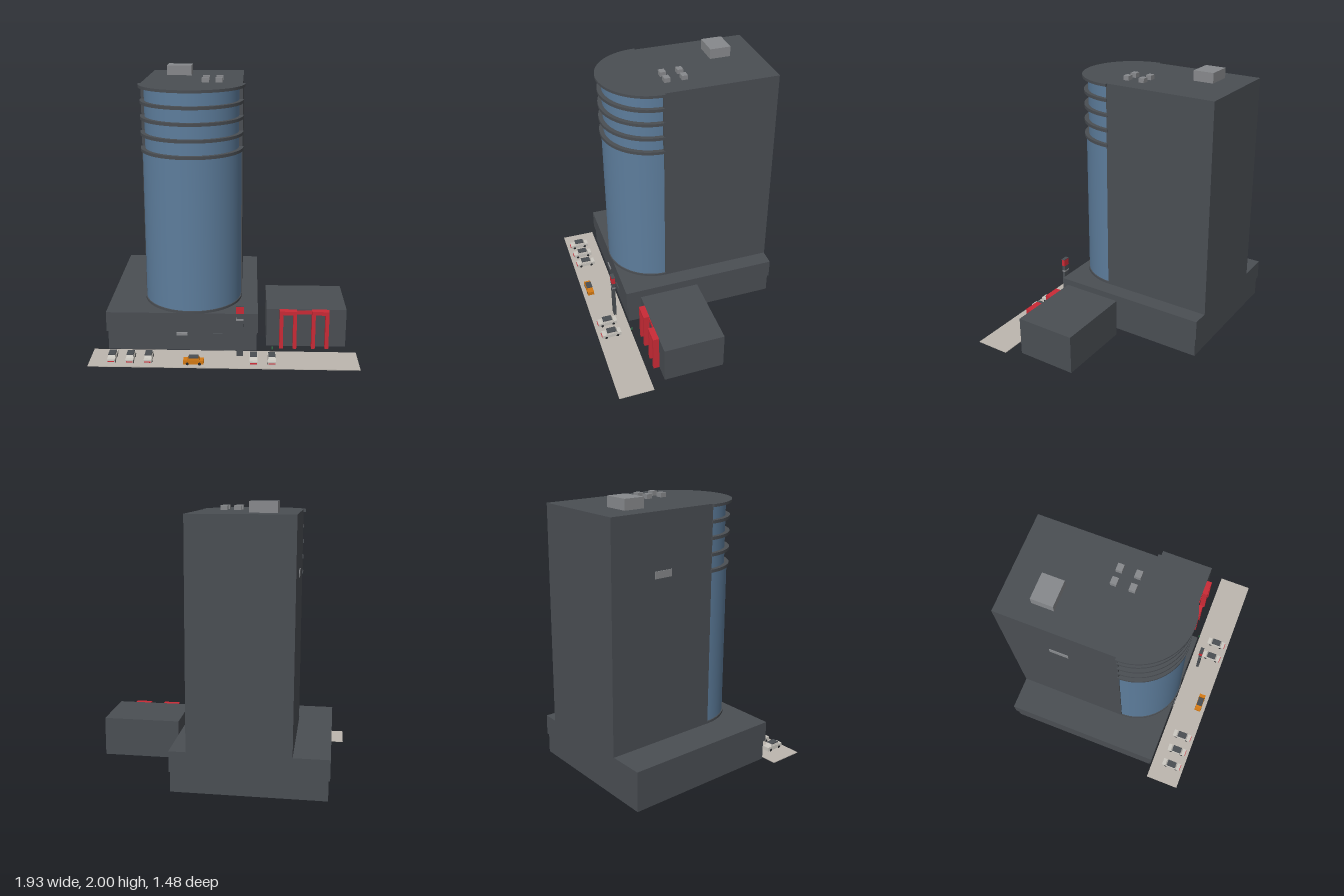
import * as THREE from 'three';

const mat = (name, color) => {
  const m = new THREE.MeshStandardMaterial({ color });
  m.name = name;
  return m;
};

export function createModel() {
  const dark = mat('charcoal cladding', 0x4a4e53);
  const glass = mat('blue glass', 0x5d7d9c);
  const grey = mat('roof grey', 0x87898c);
  const red = mat('red paint', 0xcb2a36);
  const paving = mat('paving', 0xbcb6ae);
  const white = mat('pale car paint', 0xcdc9c2);
  const orange = mat('orange car paint', 0xd47a14);
  const black = mat('tyre black', 0x26282b);
  const green = mat('green cloth', 0x2f6b45);

  const model = new THREE.Group();
  model.name = 'towerBlock';

  const add = (parent, name, geo, material, x = 0, y = 0, z = 0) => {
    const mesh = new THREE.Mesh(geo, material);
    mesh.name = name;
    mesh.position.set(x, y, z);
    parent.add(mesh);
    return mesh;
  };
  // Box given by its extents on each axis
  const box = (parent, name, material, x0, x1, y0, y1, z0, z1) =>
    add(parent, name, new THREE.BoxGeometry(x1 - x0, y1 - y0, z1 - z0), material,
      (x0 + x1) / 2, (y0 + y1) / 2, (z0 + z1) / 2);
  const group = (name, parent = model) => {
    const g = new THREE.Group();
    g.name = name;
    parent.add(g);
    return g;
  };

  // Podium: recessed base below a wider upper storey
  const podium = group('podium');
  box(podium, 'podiumBase', dark, -0.86, 0.235, 0, 0.15, -0.73, 0.46);
  box(podium, 'podiumUpper', dark, -0.87, 0.242, 0.15, 0.3, -0.74, 0.473);
  box(podium, 'entranceSign', grey, -0.355, -0.275, 0.125, 0.142, 0.46, 0.478);
  box(podium, 'entranceCanopy', dark, -0.087, -0.015, 0.125, 0.14, 0.46, 0.478);

  // Tower: solid slab with a rounded glass front
  const tower = group('tower');
  const cx = -0.248, cz = 0.115;
  box(tower, 'towerSlab', dark, -0.615, 0.12, 0.3, 1.924, -0.743, cz);
  box(tower, 'wallVent', grey, -0.62, -0.615, 1.48, 1.53, -0.39, -0.25);

  // Half cylinder bulging towards the front, closed by a thin back plate
  const halfRound = (name, material, r, y0, y1) => {
    const g = group(name, tower);
    add(g, name + 'Curve',
      new THREE.CylinderGeometry(r, r, y1 - y0, 64, 1, false, -Math.PI / 2, Math.PI),
      material, cx, (y0 + y1) / 2, cz);
    box(g, name + 'Back', material, cx - r, cx + r, y0, y1, cz - 0.008, cz);
  };
  halfRound('lowerGlass', glass, 0.36, 0.3, 1.45);
  halfRound('upperGlass', glass, 0.342, 1.45, 1.91);
  halfRound('baseRing', dark, 0.368, 0.3, 0.318);
  [1.457, 1.572, 1.687, 1.8].forEach((y) => halfRound('floorRing', dark, 0.374, y - 0.011, y + 0.011));
  halfRound('roofEdge', dark, 0.385, 1.904, 1.924);

  // Rooftop plant
  const plant = group('rooftopPlant');
  box(plant, 'plantRoom', grey, -0.475, -0.283, 1.924, 2, -0.528, -0.37);
  for (const x of [-0.152, -0.053])
    for (const z of [-0.087, 0.042])
      box(plant, 'coolingUnit', grey, x - 0.026, x + 0.026, 1.924, 1.957, z - 0.022, z + 0.022);

  // Side building with two red portals
  const annex = group('annex');
  box(annex, 'annexBlock', dark, 0.307, 0.896, 0, 0.298, -0.085, 0.375);
  for (const x of [0.403, 0.64]) {
    const w = 0.127;
    box(annex, 'portalPost', red, x, x + 0.027, 0, 0.27, 0.375, 0.42);
    box(annex, 'portalPost', red, x + w - 0.027, x + w, 0, 0.27, 0.375, 0.42);
    box(annex, 'portalBeam', red, x, x + w, 0.27, 0.298, 0.375, 0.42);
  }
  box(annex, 'portalLink', red, 0.53, 0.64, 0.26, 0.29, 0.374, 0.38);

  // Pavement
  box(model, 'pavement', paving, -0.965, 0.962, 0, 0.005, 0.475, 0.738);

  // Sign pylon
  const pylon = group('signPylon');
  box(pylon, 'pylonShaft', dark, 0.087, 0.136, 0, 0.34, 0.536, 0.558);
  box(pylon, 'pylonBand', grey, 0.085, 0.138, 0.285, 0.298, 0.534, 0.56);
  box(pylon, 'pylonHead', red, 0.085, 0.14, 0.34, 0.395, 0.533, 0.561);
  box(pylon, 'pylonCap', dark, 0.085, 0.14, 0.395, 0.4, 0.533, 0.561);

  // Pedestrian
  const walker = group('pedestrian');
  box(walker, 'pedestrianLegs', black, 0.346, 0.356, 0, 0.02, 0.466, 0.476);
  box(walker, 'pedestrianBody', green, 0.345, 0.357, 0.02, 0.038, 0.465, 0.477);

  // Car pointing along z: body, tapered cabin, lamps and wheels
  const car = (name, paint, x, z, turn, w, len) => {
    const g = group(name);
    g.position.set(x, 0.005, z);
    g.rotation.y = turn;
    box(g, 'carBody', paint, -w / 2, w / 2, 0.007, 0.037, -len / 2, len / 2);
    const cabin = new THREE.BoxGeometry(w * 0.92, 0.02, len * 0.62);
    const p = cabin.attributes.position;
    for (let i = 0; i < p.count; i++)
      if (p.getY(i) > 0) p.setXYZ(i, p.getX(i) * 0.88, p.getY(i), p.getZ(i) * 0.74);
    cabin.computeVertexNormals();
    add(g, 'carCabin', cabin, paint, 0, 0.047, 0);
    box(g, 'carRoof', dark, -w * 0.44, w * 0.44, 0.052, 0.059, -len * 0.24, len * 0.24);
    if (paint === white)
      box(g, 'tailLamps', red, -w * 0.42, w * 0.42, 0.019, 0.026, len / 2, len / 2 + 0.004);
    for (const sx of [-1, 1])
      for (const sz of [-1, 1]) {
        const wheel = add(g, 'carWheel', new THREE.CylinderGeometry(0.011, 0.011, 0.01, 12), black,
          sx * (w / 2 - 0.004), 0.011, sz * len * 0.3);
        wheel.rotation.z = Math.PI / 2;
      }
  };
  for (const x of [-0.802, -0.671, -0.541, 0.211, 0.342])
    car('parkedCar', white, x, 0.634, 0, 0.056, 0.15);
  car('orangeCar', orange, -0.215, 0.68, Math.PI / 2, 0.052, 0.145);

  return model;
}
